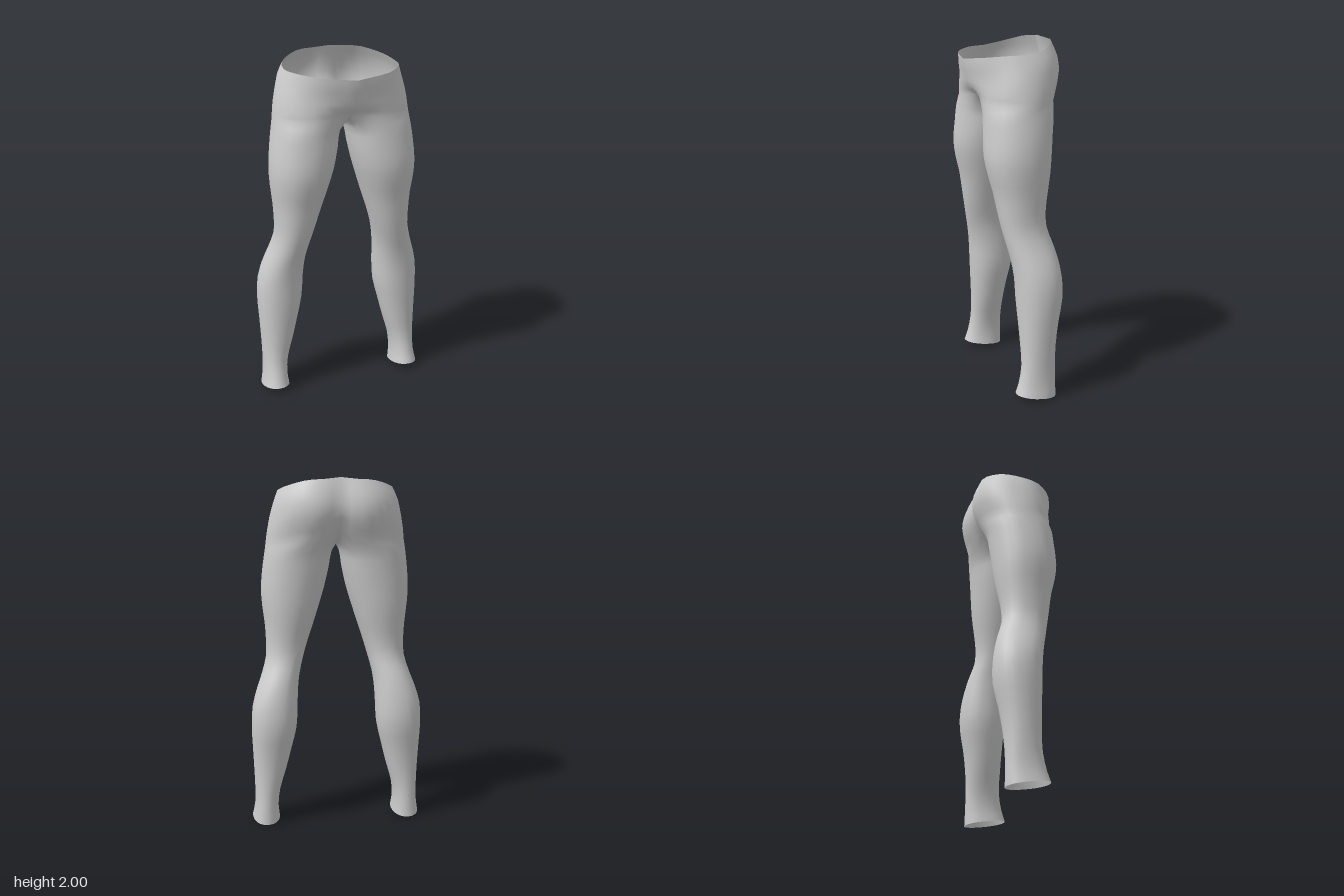
import * as THREE from 'three';
import { mergeVertices } from 'three/addons/utils/BufferGeometryUtils.js';

const OUTER = 18; // segments from front centre round the hip to back centre
const INNER = 6;  // segments through the crotch
const RING = OUTER + INNER;

// Half rings of the hips, each from front centre to back centre: [x, y, z]
const HIPS = [
  [[0, 1.885, 0.25], [0.2, 1.905, 0.205], [0.305, 1.92, 0.1], [0.327, 1.925, 0],
    [0.295, 1.95, -0.11], [0.18, 1.985, -0.195], [0.1, 1.99, -0.205], [0, 2, -0.19]],
  [[0, 1.845, 0.245], [0.2, 1.855, 0.205], [0.32, 1.86, 0.1], [0.35, 1.865, 0],
    [0.32, 1.88, -0.13], [0.2, 1.9, -0.225], [0.1, 1.9, -0.24], [0, 1.91, -0.21]],
  [[0, 1.79, 0.232], [0.2, 1.79, 0.2], [0.335, 1.785, 0.11], [0.373, 1.785, 0],
    [0.33, 1.79, -0.14], [0.2, 1.82, -0.235], [0.11, 1.82, -0.25], [0, 1.82, -0.215]],
  [[0, 1.735, 0.215], [0.21, 1.72, 0.2], [0.345, 1.71, 0.12], [0.388, 1.71, 0],
    [0.34, 1.72, -0.13], [0.21, 1.745, -0.215], [0.12, 1.745, -0.233], [0, 1.755, -0.19]],
  [[0, 1.685, 0.165], [0.21, 1.66, 0.2], [0.35, 1.66, 0.12], [0.396, 1.65, 0.01],
    [0.345, 1.66, -0.12], [0.2, 1.675, -0.195], [0.1, 1.685, -0.2], [0, 1.7, -0.15]],
];

// Crotch seam from back to front
const CROTCH = [[0, 1.7, -0.15], [0, 1.65, -0.09], [0, 1.63, -0.02], [0, 1.63, 0.06],
  [0, 1.645, 0.12], [0, 1.685, 0.165]];

// Leg rings: [height, inner x, outer x, front z, back z]
const LEG = [
  [1.59, 0.022, 0.402, 0.205, -0.178],
  [1.5, 0.038, 0.415, 0.21, -0.167],
  [1.38, 0.065, 0.425, 0.215, -0.155],
  [1.28, 0.095, 0.42, 0.2, -0.145],
  [1.18, 0.127, 0.408, 0.175, -0.13],
  [1.08, 0.16, 0.402, 0.158, -0.115],
  [0.98, 0.19, 0.404, 0.14, -0.115],
  [0.88, 0.215, 0.432, 0.118, -0.145],
  [0.8, 0.225, 0.462, 0.1, -0.165],
  [0.7, 0.23, 0.49, 0.086, -0.18],
  [0.58, 0.237, 0.497, 0.08, -0.18],
  [0.45, 0.267, 0.492, 0.072, -0.155],
  [0.32, 0.3, 0.486, 0.066, -0.137],
  [0.2, 0.335, 0.482, 0.066, -0.13],
  [0.1, 0.346, 0.484, 0.085, -0.13],
  [0.024, 0.338, 0.497, 0.105, -0.132],
];

const spline = (pts) => new THREE.CatmullRomCurve3(pts.map((p) => new THREE.Vector3(...p)));

// Squarish oval; the first point lies at the inner front, the hem slopes down to the back
function legRing([y, xi, xo, zf, zb], hem) {
  const soft = (v) => Math.sign(v) * Math.abs(v) ** 0.93;
  return Array.from({ length: RING + 1 }, (_, i) => {
    const t = ((i % RING) / RING) * Math.PI * 2 - Math.PI / 4;
    const x = (xi + xo) / 2 + ((xo - xi) / 2) * soft(Math.sin(t));
    const z = (zf + zb) / 2 + ((zf - zb) / 2) * soft(Math.cos(t));
    return new THREE.Vector3(x, hem ? y + 0.15 * z : y, z);
  });
}

// Add smooth in-between rows along every column
function refine(rows, factor) {
  const columns = rows[0].map((_, i) => new THREE.CatmullRomCurve3(rows.map((r) => r[i])));
  const n = (rows.length - 1) * factor;
  return Array.from({ length: n + 1 }, (_, j) => columns.map((c) => c.getPoint(j / n)));
}

// Skin the rows on one side (+1 or -1) into shared position and index lists
function addSkin(rows, side, positions, indices) {
  const start = positions.length / 3;
  const w = rows[0].length;
  for (const row of rows) for (const p of row) positions.push(side * p.x, p.y, p.z);
  for (let r = 0; r < rows.length - 1; r++) {
    for (let i = 0; i < w - 1; i++) {
      const a = start + r * w + i, b = a + 1, c = a + w, d = c + 1;
      if (side > 0) indices.push(a, c, b, b, c, d);
      else indices.push(a, b, c, b, d, c);
    }
  }
}

export function createModel() {
  const hipRows = HIPS.map((pts) => spline(pts).getSpacedPoints(OUTER));
  const seam = hipRows[hipRows.length - 1];
  const crotch = spline(CROTCH).getSpacedPoints(INNER);

  // The top ring of a leg joins the hip seam to the crotch seam
  const legRows = [
    [...seam, ...crotch.slice(1)],
    ...LEG.map((ring, i) => legRing(ring, i === LEG.length - 1)),
  ];

  const positions = [];
  const indices = [];
  for (const side of [1, -1]) {
    addSkin(refine(hipRows, 2), side, positions, indices);
    addSkin(refine(legRows, 2), side, positions, indices);
  }

  // Weld the halves so that the cloth shades smoothly across the seams
  let geometry = new THREE.BufferGeometry();
  geometry.setAttribute('position', new THREE.Float32BufferAttribute(positions, 3));
  geometry.setIndex(indices);
  geometry = mergeVertices(geometry, 1e-4);
  geometry.computeVertexNormals();

  const cloth = new THREE.MeshStandardMaterial({ color: 0xcccccc, side: THREE.DoubleSide });
  cloth.name = 'light grey cloth';
  const leggings = new THREE.Mesh(geometry, cloth);
  leggings.name = 'leggings';

  const model = new THREE.Group();
  model.name = 'leggingsModel';
  model.add(leggings);
  return model;
}
